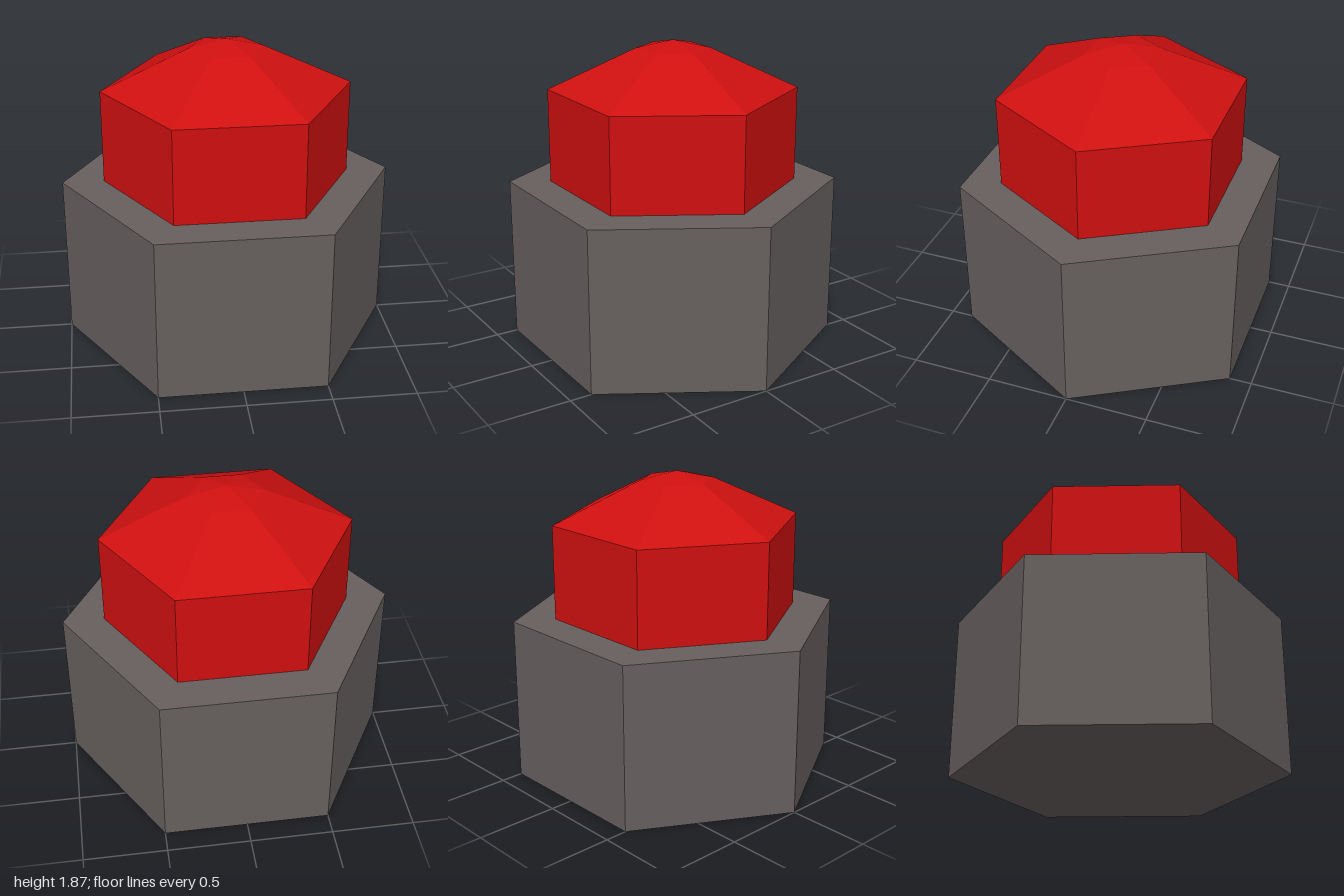
import * as THREE from 'three';

export function createModel() {
  const model = new THREE.Group();
  model.name = 'hexagonalButton';

  const grey = new THREE.MeshStandardMaterial({ color: 0x665f5e, flatShading: true });
  grey.name = 'warm grey';
  const red = new THREE.MeshStandardMaterial({ color: 0xcf1010, flatShading: true });
  red.name = 'red';

  // Six-sided tier with corners on the x axis, from height y0 to y1
  function tier(name, rBottom, rTop, y0, y1, material, open, parent) {
    const geometry = new THREE.CylinderGeometry(rTop, rBottom, y1 - y0, 6, 1, open, Math.PI / 2)
      .toNonIndexed();
    geometry.computeVertexNormals();
    const mesh = new THREE.Mesh(geometry, material);
    mesh.name = name;
    mesh.position.y = (y0 + y1) / 2;
    parent.add(mesh);
  }

  // Wide base block
  tier('base', 1, 1, 0, 1, grey, false, model);

  // Cap: upright walls, sloped shoulder and shallow peak
  const cap = new THREE.Group();
  cap.name = 'cap';
  model.add(cap);
  tier('capWalls', 0.75, 0.75, 1, 1.575, red, true, cap);
  tier('capShoulder', 0.75, 0.225, 1.575, 1.82, red, true, cap);
  tier('capPeak', 0.225, 0, 1.82, 1.87, red, true, cap);

  return model;
}
